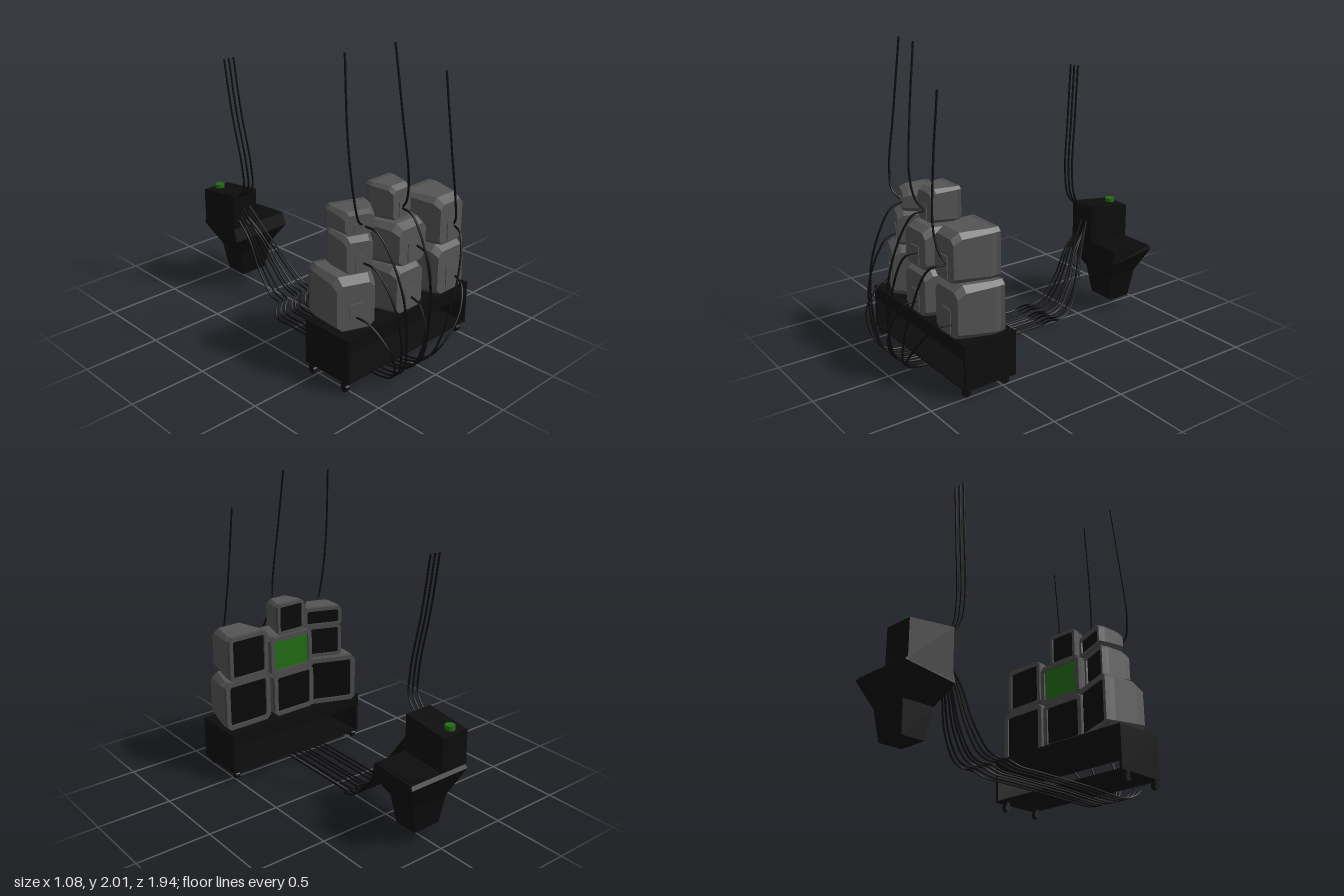
import * as THREE from 'three';

const mat = (color) => new THREE.MeshStandardMaterial({ color, flatShading: true });
const caseMat = mat(0x555555), bezelMat = mat(0x4c4c4c), blackMat = mat(0x0c0c0c);
const screenMat = mat(0x080808), greenMat = mat(0x226b14);
const cableMat = new THREE.MeshStandardMaterial({ color: 0x0a0a0a });

function add(parent, name, geometry, material, x = 0, y = 0, z = 0) {
  const mesh = new THREE.Mesh(geometry, material);
  mesh.name = name;
  mesh.position.set(x, y, z);
  parent.add(mesh);
  return mesh;
}

const box = (parent, name, m, w, h, d, x, y, z) =>
  add(parent, name, new THREE.BoxGeometry(w, h, d), m, x, y, z);

// Closed solid through rings of equal point count
function loft(rings) {
  const n = rings[0].length, pos = [], idx = [];
  rings.forEach((r) => r.forEach((p) => pos.push(...p)));
  for (let k = 0; k < rings.length - 1; k++) {
    for (let i = 0; i < n; i++) {
      const a = k * n + i, b = k * n + (i + 1) % n;
      idx.push(a, b, b + n, a, b + n, a + n);
    }
  }
  const last = (rings.length - 1) * n;
  for (let i = 1; i < n - 1; i++) {
    idx.push(0, i + 1, i, last, last + i, last + i + 1);
  }
  const g = new THREE.BufferGeometry();
  g.setAttribute('position', new THREE.Float32BufferAttribute(pos, 3));
  g.setIndex(idx);
  const flat = g.toNonIndexed();
  flat.computeVertexNormals();
  return flat;
}

// Rectangle with cut corners, anticlockwise
function octagon(w, h, c, yMid, z) {
  const a = w / 2, b = h / 2;
  return [[a, c - b], [a, b - c], [a - c, b], [c - a, b], [-a, b - c], [-a, c - b], [c - a, -b], [a - c, -b]]
    .map(([x, y]) => [x, y + yMid, z]);
}

// Horizontal four-cornered ring, with separate heights at front and back
const quadRing = (x0, x1, zf, zb, yf, yb) => [[x1, yf, zf], [x1, yb, zb], [x0, yb, zb], [x0, yf, zf]];

// Tube monitor: screen faces -z, centre of the screen's lower edge at its origin
function makeMonitor({ name, w, h, d, x, y, z, yaw = 0, lit }) {
  const g = new THREE.Group();
  g.name = name;
  const c = 0.08 * w, m = h / 2, border = 0.09 * w;
  add(g, 'case', loft([
    octagon(w, h, c, m, 0.03),
    octagon(w, h, c, m, d * 0.22),
    octagon(w * 0.76, h * 0.99, c * 1.4, m, d * 0.82),
    octagon(w * 0.68, h * 0.85, c * 1.2, m * 0.92, d),
  ]), caseMat);
  const frame = new THREE.Shape(octagon(w, h, c, m, 0).map(([a, b]) => new THREE.Vector2(a, b)));
  const hole = octagon(w - 2 * border, h - 2 * border, c * 0.4, m, 0).map(([a, b]) => new THREE.Vector2(a, b));
  frame.holes.push(new THREE.Path(hole.reverse()));
  add(g, 'bezel', new THREE.ExtrudeGeometry(frame, { depth: 0.03, bevelEnabled: false }), bezelMat);
  box(g, 'screen', lit ? greenMat : screenMat, w - 1.9 * border, h - 1.9 * border, 0.014, 0, m, 0.019);
  box(g, 'rearPanel', caseMat, w * 0.24, h * 0.45, 0.012, 0, h * 0.3, d);
  g.position.set(x, y, z);
  g.rotation.y = yaw;
  return g;
}

function cable(parent, name, points) {
  const curve = new THREE.CatmullRomCurve3(points.map((p) => new THREE.Vector3(...p)), false, 'centripetal');
  add(parent, name, new THREE.TubeGeometry(curve, 100, 0.0065, 6), cableMat);
}

// plug: [sideways offset, world height]; run: x of the cable on the floor
const MONITORS = [
  { name: 'rightBottomMonitor', w: 0.35, h: 0.34, d: 0.3, x: -0.31, y: 0.35, z: 0.45, yaw: -0.37, plug: [0, 0.44], run: -0.27 },
  { name: 'rightMiddleMonitor', w: 0.24, h: 0.23, d: 0.22, x: -0.29, y: 0.69, z: 0.5, yaw: -0.37, plug: [0.02, 0.76], run: -0.23 },
  { name: 'rightTopMonitor', w: 0.27, h: 0.14, d: 0.2, x: -0.27, y: 0.92, z: 0.49, yaw: -0.37, plug: [0.03, 0.97], run: -0.19 },
  { name: 'centreBottomMonitor', w: 0.33, h: 0.31, d: 0.29, x: -0.015, y: 0.35, z: 0.49, plug: [0.015, 0.44], run: -0.13 },
  { name: 'centreMiddleMonitor', w: 0.34, h: 0.27, d: 0.29, x: 0, y: 0.66, z: 0.49, plug: [0.035, 0.77], run: -0.1, lit: true },
  { name: 'centreTopMonitor', w: 0.22, h: 0.215, d: 0.19, x: -0.015, y: 0.93, z: 0.51, plug: [0, 1.0], run: -0.06 },
  { name: 'leftTopMonitor', w: 0.3, h: 0.31, d: 0.29, x: 0.34, y: 0.69, z: 0.5, plug: [0.03, 0.8], run: -0.01 },
  { name: 'leftBottomMonitor', w: 0.35, h: 0.34, d: 0.29, x: 0.355, y: 0.35, z: 0.5, plug: [0.055, 0.44], run: 0.03 },
];

// Open cart on casters
function makeCart() {
  const g = new THREE.Group();
  g.name = 'cart';
  box(g, 'cartTop', blackMat, 1.08, 0.09, 0.36, 0, 0.305, 0.61);
  box(g, 'cartShelf', blackMat, 1.08, 0.01, 0.36, 0, 0.067, 0.61);
  for (const s of [-1, 1]) box(g, 'cartSide', blackMat, 0.02, 0.285, 0.36, s * 0.53, 0.2075, 0.61);
  for (const x of [-0.525, 0.49]) {
    for (const z of [0.48, 0.755]) {
      add(g, 'casterWheel', new THREE.CylinderGeometry(0.024, 0.024, 0.03, 14).rotateZ(Math.PI / 2), blackMat, x, 0.024, z);
      box(g, 'casterFork', blackMat, 0.034, 0.035, 0.03, x, 0.047, z);
    }
  }
  return g;
}

// Standing console: tapered foot, sloping desk and a taller tower on its right
function makeConsole() {
  const g = new THREE.Group();
  g.name = 'console';
  add(g, 'consoleBody', loft([
    quadRing(-0.1, 0.1, -0.71, -0.87, 0.075, 0.075),
    quadRing(-0.13, 0.13, -0.68, -0.895, 0.27, 0.27),
    quadRing(-0.23, 0.22, -0.61, -0.965, 0.4, 0.445),
    quadRing(-0.225, 0.215, -0.63, -0.95, 0.49, 0.468),
  ]), blackMat);
  add(g, 'consoleTower', loft([
    quadRing(-0.23, -0.03, -0.63, -0.95, 0.42, 0.45),
    quadRing(-0.23, -0.03, -0.63, -0.95, 0.74, 0.698),
  ]), blackMat);
  add(g, 'deskPanel', loft([
    quadRing(0.0, 0.195, -0.65, -0.93, 0.48, 0.46),
    quadRing(0.0, 0.195, -0.65, -0.93, 0.493, 0.475),
  ]), blackMat);
  add(g, 'greenButton', new THREE.CylinderGeometry(0.032, 0.032, 0.035, 24), greenMat, -0.14, 0.716, -0.89);
  return g;
}

export function createModel() {
  const model = new THREE.Group();
  model.name = 'monitorInstallation';
  model.add(makeCart(), makeConsole());

  // Monitors, each with a cable looping to the floor and on to the console
  MONITORS.forEach((spec, i) => {
    const monitor = makeMonitor(spec);
    model.add(monitor);
    monitor.updateMatrix();
    const [side, py] = spec.plug;
    const p = new THREE.Vector3(side, py - spec.y, spec.d).applyMatrix4(monitor.matrix);
    const f = spec.run, k = f + 0.09, e = -0.18 + 0.013 * i;
    const mix = THREE.MathUtils.lerp;
    cable(model, 'signalCable', [
      [p.x, py, p.z],
      [mix(p.x, f, 0.12), py - 0.02, p.z + 0.09],
      [mix(p.x, f, 0.4), py * 0.62, 0.95],
      [mix(p.x, f, 0.85), 0.08, 0.92],
      [f, 0.012, 0.82], [f, 0.012, 0.4], [f, 0.012, 0],
      [f + 0.005, 0.016, -0.15], [f + 0.04, 0.05, -0.2], [k - 0.005, 0.066, -0.225],
      [mix(k, e, 0.03), 0.09, -0.31],
      [mix(k, e, 0.25), 0.23, -0.43],
      [mix(k, e, 0.65), 0.43, -0.53],
      [e, 0.54 + 0.03 * (i % 4), -0.635],
    ]);
  });

  // Cables hanging from above onto the monitors
  cable(model, 'hangingCable', [[-0.41, 1.98, 0.61], [-0.43, 1.5, 0.66], [-0.425, 1.18, 0.705], [-0.39, 1.03, 0.71], [-0.31, 0.97, 0.67]]);
  cable(model, 'hangingCable', [[-0.1, 2, 0.69], [-0.08, 1.6, 0.74], [-0.05, 1.22, 0.775], [-0.03, 1.07, 0.75], [-0.01, 1, 0.7]]);
  cable(model, 'hangingCable', [[0.265, 1.79, 0.76], [0.28, 1.35, 0.81], [0.31, 1, 0.838], [0.345, 0.86, 0.82], [0.37, 0.8, 0.785]]);

  // Cables hanging from above onto the console tower
  for (let i = 0; i < 3; i++) {
    const x = -0.27 + 0.0375 * i;
    cable(model, 'consoleHangingCable', [
      [x, 1.7, -0.62], [x + 0.02, 1.35, -0.585], [x + 0.055, 0.97, -0.54],
      [x + 0.075, 0.8, -0.555], [x + 0.085, 0.71, -0.635],
    ]);
  }
  return model;
}
